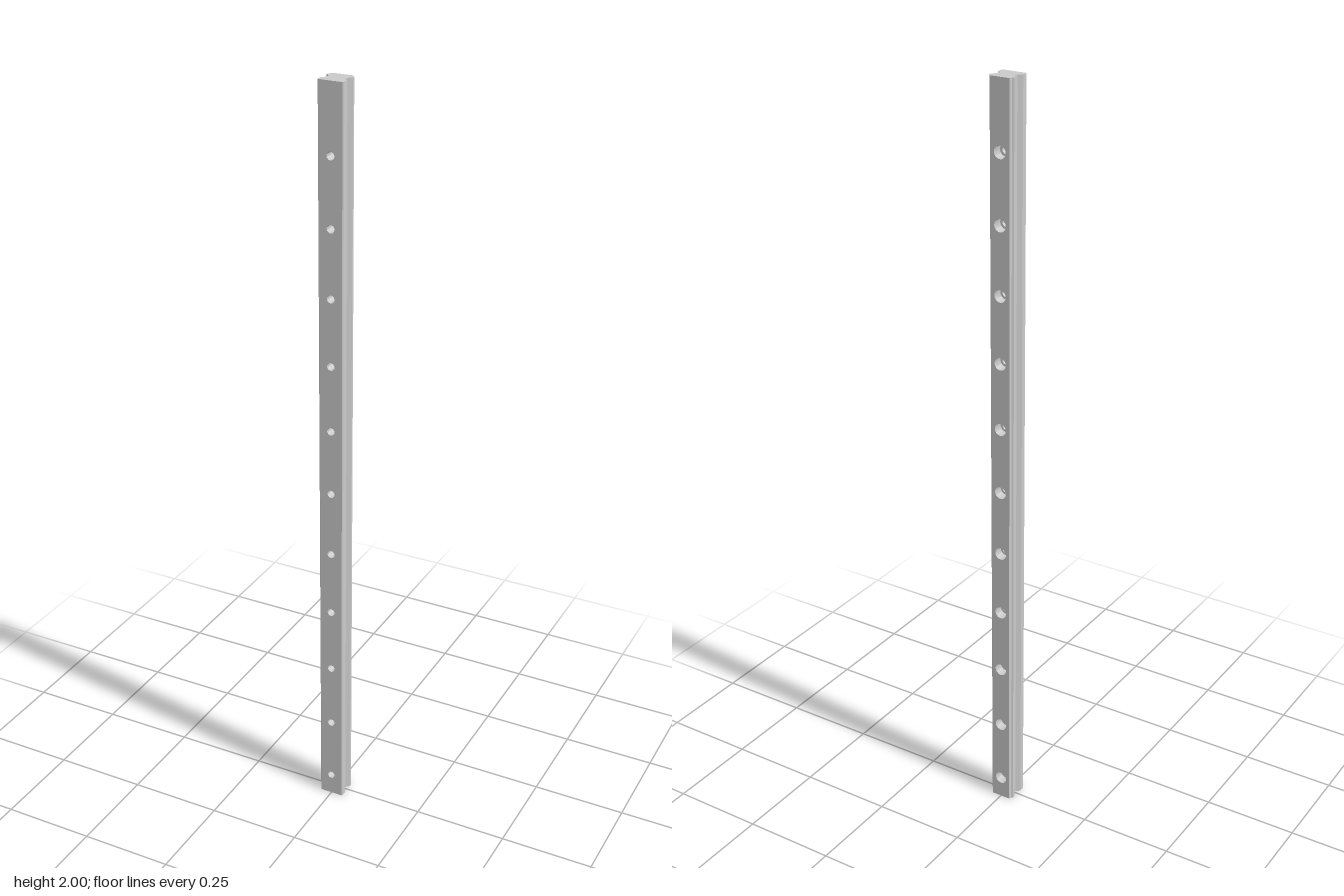
import * as THREE from 'three';
import { toCreasedNormals } from 'three/addons/utils/BufferGeometryUtils.js';

const LENGTH = 2, HZ = 0.032, SEG = 32;
const BOLT_R = 0.0103, BORE_R = 0.0162, BORE_FLOOR = -0.0055;
const holeHeights = Array.from({ length: 11 }, (_, i) => 0.06 + i * 0.1765);

// Half of the rail's cross-section (x, z), from the front edge to the back edge
const half = [
  [0.0308, HZ], [0.0335, 0.0293], [0.0335, 0.0155], [0.0238, 0.0055], [0.0232, 0.0035],
  [0.0232, -0.0045], [0.0238, -0.0065], [0.0335, -0.0155], [0.0335, -0.0225],
  [0.029, -0.0255], [0.0283, -0.029], [0.0265, -HZ],
];
const outline = [...half, ...half.map(([x, z]) => [-x, z]).reverse()];

// Flat face along the rail, pierced by the row of round holes
function drilledFace(halfWidth, radius) {
  const s = new THREE.Shape();
  s.moveTo(-halfWidth, 0).lineTo(halfWidth, 0).lineTo(halfWidth, LENGTH).lineTo(-halfWidth, LENGTH);
  s.closePath();
  for (const y of holeHeights) s.holes.push(new THREE.Path().absarc(0, y, radius, 0, Math.PI * 2, true));
  return new THREE.ShapeGeometry(s, SEG);
}

// Walls swept up from one half of the cross-section
function flankWalls(points) {
  const pos = [];
  for (let i = 0; i < points.length - 1; i++) {
    const [ax, az] = points[i], [bx, bz] = points[i + 1];
    pos.push(ax, 0, az, bx, 0, bz, bx, LENGTH, bz, ax, 0, az, bx, LENGTH, bz, ax, LENGTH, az);
  }
  const g = new THREE.BufferGeometry();
  g.setAttribute('position', new THREE.Float32BufferAttribute(pos, 3));
  g.computeVertexNormals();
  return g;
}

function endCap(sign) {
  const s = new THREE.Shape(outline.map(([x, z]) => new THREE.Vector2(x, -sign * z)));
  return new THREE.ShapeGeometry(s).rotateX(-sign * Math.PI / 2);
}

export function createModel() {
  const group = new THREE.Group();
  group.name = 'linearRail';
  const material = new THREE.MeshStandardMaterial({ color: 0xcccccc });
  const add = (name, geometry) => {
    const mesh = new THREE.Mesh(geometry, material);
    mesh.name = name;
    group.add(mesh);
    return mesh;
  };

  // Grooved flanks and ends
  add('leftFlank', flankWalls(half));
  add('rightFlank', flankWalls(outline.slice(half.length)));
  add('topEnd', endCap(1)).position.y = LENGTH;
  add('bottomEnd', endCap(-1));

  // Mounting face with bolt holes, and back face with counterbores
  add('frontFace', drilledFace(half[0][0], BOLT_R)).position.z = HZ;
  const back = add('backFace', drilledFace(half[half.length - 1][0], BORE_R));
  back.rotation.y = Math.PI;
  back.position.z = -HZ;

  // Stepped hole linings, facing inward
  const lining = [[BOLT_R, HZ], [BOLT_R, BORE_FLOOR], [BORE_R, BORE_FLOOR], [BORE_R, -HZ]]
    .map(([r, z]) => new THREE.Vector2(r, z));
  const holeGeometry = toCreasedNormals(new THREE.LatheGeometry(lining, SEG).rotateX(Math.PI / 2), 0.6);
  holeHeights.forEach((y, i) => { add(`boltHole${i + 1}`, holeGeometry).position.y = y; });

  return group;
}
